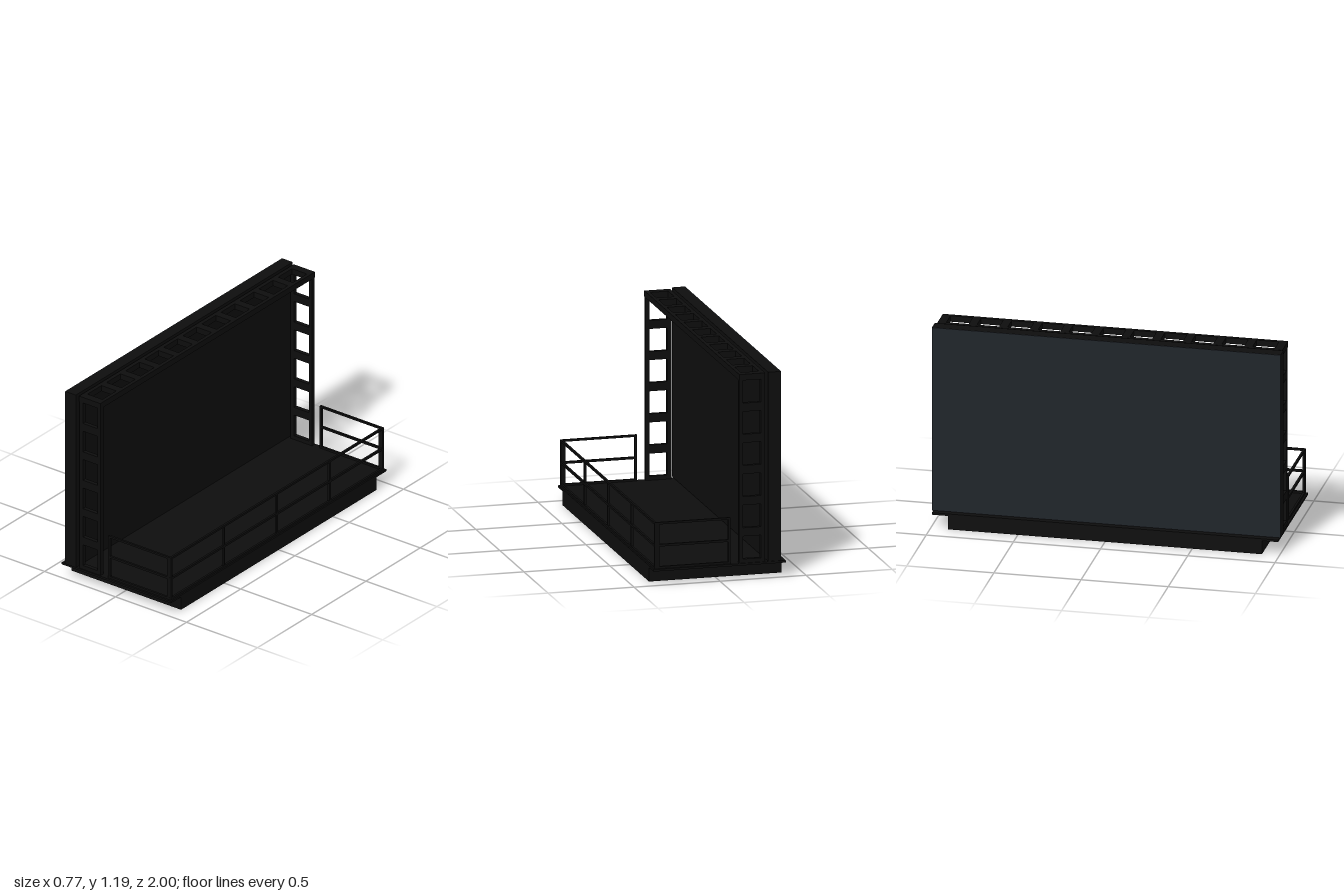
import * as THREE from 'three';

export function createModel() {
  const model = new THREE.Group();
  const black = new THREE.MeshStandardMaterial({ color: 0x0d0d0d });
  black.name = 'matte black';
  const slate = new THREE.MeshStandardMaterial({ color: 0x1f242a });
  slate.name = 'screen slate';

  // Box given by its lower and upper bounds on each axis
  function box(parent, name, [x0, x1], [y0, y1], [z0, z1], material = black) {
    const mesh = new THREE.Mesh(new THREE.BoxGeometry(x1 - x0, y1 - y0, z1 - z0), material);
    mesh.position.set((x0 + x1) / 2, (y0 + y1) / 2, (z0 + z1) / 2);
    mesh.name = name;
    parent.add(mesh);
  }
  function group(name) {
    const g = new THREE.Group();
    g.name = name;
    model.add(g);
    return g;
  }
  const around = (c, size) => [c - size / 2, c + size / 2];

  // Plinth with a deck overhanging at both ends
  box(model, 'plinth', [-0.385, 0.385], [0, 0.08], [-0.9, 0.9]);
  box(model, 'deck', [-0.385, 0.385], [0.08, 0.092], [-0.993, 0.993]);

  // Display panel with its screen on the outer side
  box(model, 'displayPanel', [-0.351, -0.28], [0.095, 1.188], [-1, 1]);
  box(model, 'screen', [-0.355, -0.351], [0.095, 1.188], [-1, 1], slate);

  // Ladder truss: an upright at each end and a flat span on top
  const truss = group('truss');
  const chords = [[-0.265, -0.241], [-0.137, -0.115]];
  const inside = [-0.241, -0.137];
  for (const s of [-1, 1]) {
    for (const c of chords) box(truss, 'upright', c, [0.092, 1.148], around(s * 0.974, 0.024));
    for (let i = 0; i < 6; i++) {
      const y = 0.091 + i * 0.18;
      box(truss, 'uprightRung', inside, [Math.max(0.092, y - 0.0245), y + 0.0245], around(s * 0.974, 0.024));
    }
  }
  for (const c of chords) box(truss, 'topChord', c, [1.148, 1.183], [-0.99, 0.99]);
  for (let i = 0; i < 12; i++) {
    box(truss, 'topRung', inside, [1.148, 1.183], around(-0.966 + i * (1.932 / 11), 0.048));
  }

  // Guard rail around the open side of the deck
  const railing = group('railing');
  const bars = [[0.092, 0.104], [0.219, 0.232], [0.347, 0.359]];
  for (const s of [-1, 1]) {
    const z = around(s * 0.975, 0.013);
    for (const y of bars) box(railing, 'endRail', [-0.053, 0.347], y, z);
    box(railing, 'endPost', [-0.066, -0.053], [0.092, 0.359], z);
    box(railing, 'cornerPost', [0.347, 0.363], [0.092, 0.359], z);
  }
  for (const y of bars) box(railing, 'sideRail', [0.363, 0.376], y, [-0.982, 0.982]);
  for (let i = -2; i <= 2; i++) {
    box(railing, 'sidePost', [0.363, 0.376], [0.104, 0.347], around(i * 0.4875, 0.013));
  }
  return model;
}
